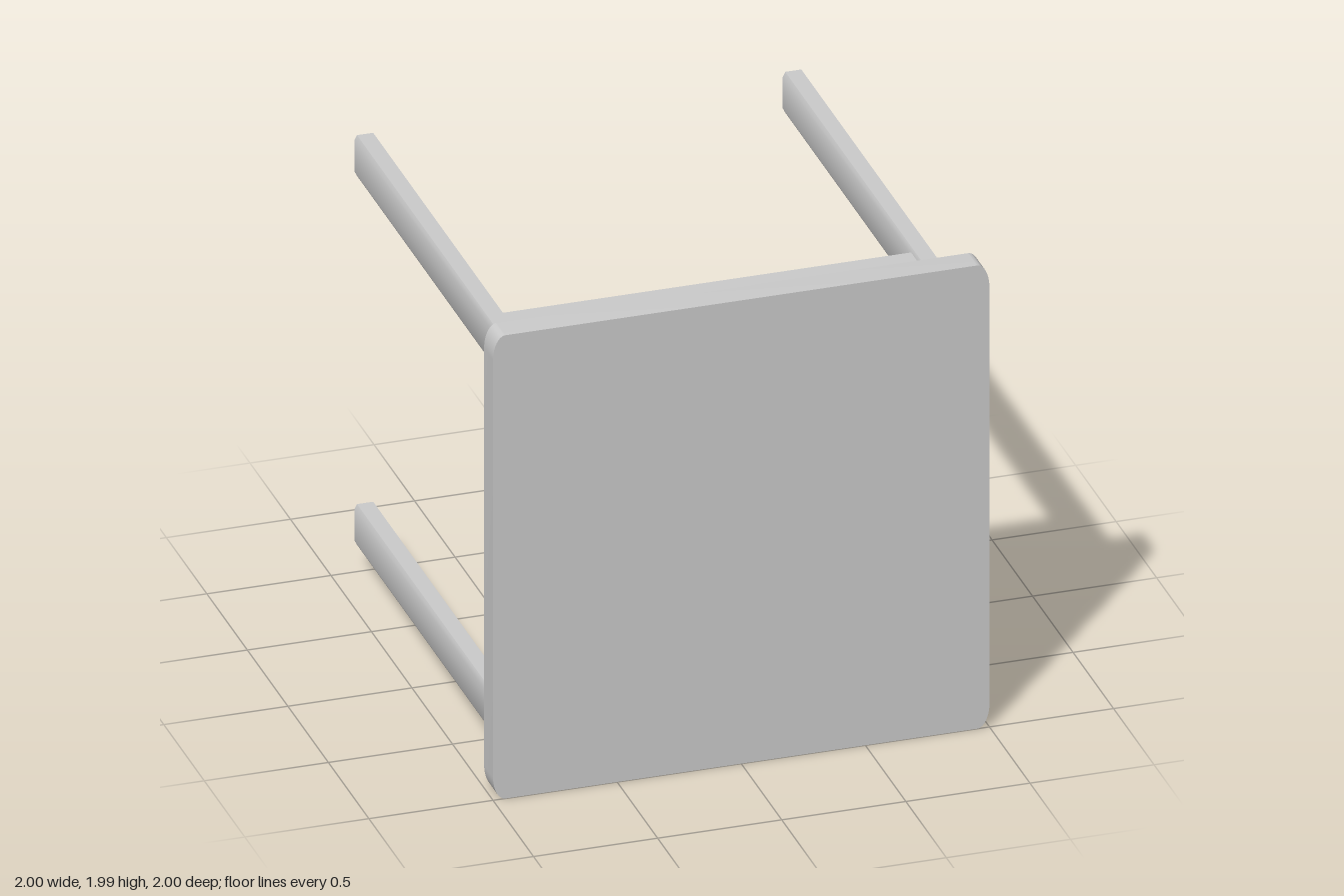
import * as THREE from 'three';
import { toCreasedNormals } from 'three/addons/utils/BufferGeometryUtils.js';

const material = new THREE.MeshStandardMaterial({ color: 0xcccccc });

// Rectangle w x h centred on the origin, corners rounded by an ellipse rx, ry
function roundedRect(w, h, rx, ry) {
  const s = new THREE.Shape();
  const x = w / 2 - rx, y = h / 2 - ry;
  s.moveTo(x + rx, -y);
  [[x, y], [-x, y], [-x, -y], [x, -y]].forEach(([cx, cy], i) =>
    s.absellipse(cx, cy, rx, ry, i * Math.PI / 2, (i + 1) * Math.PI / 2, false));
  return s;
}

// Rectangle w x h with chamfered corners
function chamferedRect(w, h, cx, cy) {
  const x = w / 2, y = h / 2;
  return new THREE.Shape([
    [x, -y + cy], [x, y - cy], [x - cx, y], [-x + cx, y],
    [-x, y - cy], [-x, -y + cy], [-x + cx, -y], [x - cx, -y],
  ].map(([a, b]) => new THREE.Vector2(a, b)));
}

// Extrude a section along z, centred on the origin
function bar(shape, length, name) {
  const g = new THREE.ExtrudeGeometry(shape, { depth: length, bevelEnabled: false, curveSegments: 8 });
  g.translate(0, 0, -length / 2);
  const mesh = new THREE.Mesh(toCreasedNormals(g, 0.5), material);
  mesh.name = name;
  return mesh;
}

export function createModel() {
  const table = new THREE.Group();
  table.name = 'tableOnItsSide';
  const add = (mesh, x, y, z) => { mesh.position.set(x, y, z); table.add(mesh); };

  // Table top, standing upright and facing front
  add(bar(roundedRect(2, 1.99, 0.05, 0.1), 0.11, 'tableTop'), 0, 1, 0.945);

  for (const side of [1, -1]) {
    const sideName = side > 0 ? 'left' : 'right';
    const endName = side > 0 ? 'upper' : 'lower';

    // Legs pointing backward
    for (const end of [1, -1]) {
      const name = sideName + (end > 0 ? 'Upper' : 'Lower') + 'Leg';
      add(bar(chamferedRect(0.085, 0.175, 0.01, 0.02), 1.9, name),
        side * 0.8625, 1 + end * 0.7925, -0.05);
    }

    // Apron running up between the legs of one side
    const upright = bar(chamferedRect(0.07, 0.35, 0.01, 0.015), 1.44, sideName + 'Apron');
    upright.rotation.x = Math.PI / 2;
    add(upright, side * 0.8625, 1, 0.735);

    // Apron running across between left and right legs
    const cross = bar(chamferedRect(0.35, 0.147, 0.015, 0.02), 1.66, endName + 'Apron');
    cross.rotation.y = Math.PI / 2;
    add(cross, 0, 1 + side * 0.7925, 0.735);
  }
  return table;
}
